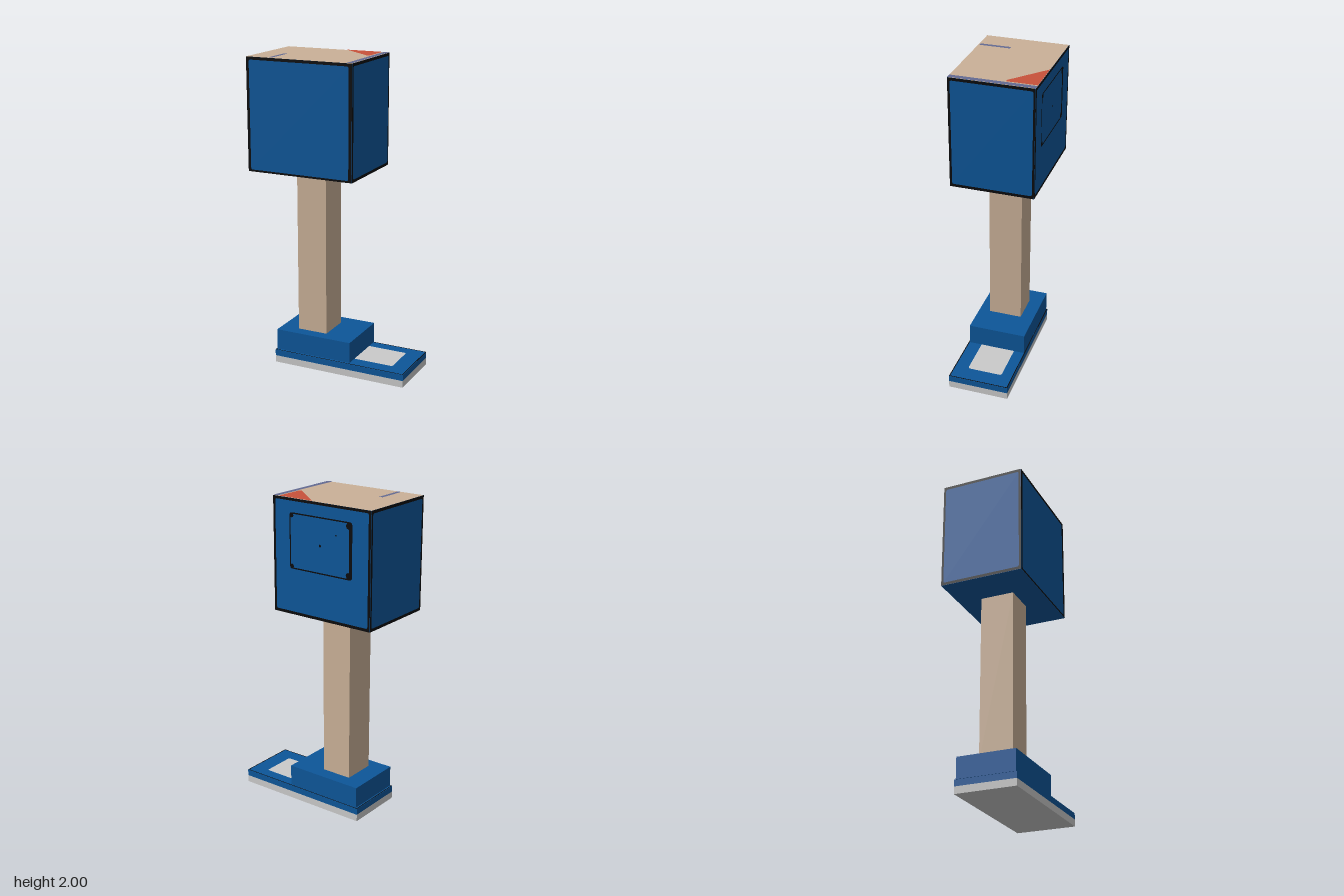
import * as THREE from 'three';

const paint = (name, color) => Object.assign(new THREE.MeshStandardMaterial({ color }), { name });

export function createModel() {
  const model = new THREE.Group();
  const blue = paint('blue', 0x0d5699);
  const black = paint('black', 0x0a0a0c);
  const tan = paint('tan', 0xcab198);
  const grey = paint('light grey', 0xcacaca);
  const red = paint('red', 0xc8523a);
  const purple = paint('dusty purple', 0x646a92);

  const add = (name, geometry, material, parent = model) => {
    const mesh = new THREE.Mesh(geometry, material);
    mesh.name = name;
    parent.add(mesh);
    return mesh;
  };

  // Box given by its lower and upper corners
  const block = (name, [x0, y0, z0], [x1, y1, z1], material) => {
    const mesh = add(name, new THREE.BoxGeometry(x1 - x0, y1 - y0, z1 - z0), material);
    mesh.position.set((x0 + x1) / 2, (y0 + y1) / 2, (z0 + z1) / 2);
    return mesh;
  };

  // Rounded rectangle outline traced onto a Shape or Path
  const trace = (path, x0, y0, x1, y1, r) => {
    path.moveTo(x0 + r, y0);
    path.lineTo(x1 - r, y0);
    path.quadraticCurveTo(x1, y0, x1, y0 + r);
    path.lineTo(x1, y1 - r);
    path.quadraticCurveTo(x1, y1, x1 - r, y1);
    path.lineTo(x0 + r, y1);
    path.quadraticCurveTo(x0, y1, x0, y1 - r);
    path.lineTo(x0, y0 + r);
    path.quadraticCurveTo(x0, y0, x0 + r, y0);
    return path;
  };

  // Flat border with separate left, bottom, right and top widths
  const border = (x0, y0, x1, y1, [l, b, r, t], outer = 0.0005, inner = 0.012) => {
    const shape = trace(new THREE.Shape(), x0, y0, x1, y1, outer);
    shape.holes.push(trace(new THREE.Path(), x0 + l, y0 + b, x1 - r, y1 - t, inner));
    return new THREE.ShapeGeometry(shape, 4);
  };

  // Shoe: pale sole, blue upper, ankle cuff and leg
  block('sole', [-0.39, 0, -0.205], [0.51, 0.045, 0.185], grey);
  block('shoeUpper', [-0.39, 0.045, -0.205], [0.51, 0.085, 0.185], blue);
  block('ankleCuff', [-0.38, 0.09, -0.2], [0.14, 0.225, 0.175], blue);
  block('leg', [-0.26, 0.225, -0.113], [-0.06, 1.29, 0.102], tan);

  // Toe patch and dark edge lines on top of the shoe
  const patch = add('toePatch',
    new THREE.ShapeGeometry(trace(new THREE.Shape(), 0.1, -0.095, 0.4, 0.13, 0.015), 4), grey);
  patch.rotation.x = -Math.PI / 2;
  patch.position.y = 0.087;
  const edge = add('shoeEdgeLine',
    border(-0.39, -0.185, 0.51, 0.205, [0.006, 0.006, 0.006, 0.006], 0.0005, 0.001), black);
  edge.rotation.x = -Math.PI / 2;
  edge.position.y = 0.087;

  // Trouser block with a tan top
  block('trouserBlock', [-0.51, 1.29, -0.265], [0.195, 1.998, 0.265],
    [blue, blue, tan, blue, blue, blue]);

  // Dark borders on the four sides of the trouser block
  const sides = [
    ['front', 0, 0.705, 0.265, [0.018, 0.012, 0.022, 0.018]],
    ['left', Math.PI / 2, 0.53, 0.3525, [0.015, 0.018, 0.012, 0.018]],
    ['back', Math.PI, 0.705, 0.265, [0.016, 0.018, 0.016, 0.016]],
    ['right', -Math.PI / 2, 0.53, 0.3525, [0.014, 0.018, 0.014, 0.018]],
  ];
  const faces = {};
  for (const [name, turn, width, depth, widths] of sides) {
    const face = new THREE.Group();
    face.name = name + 'Panel';
    face.position.set(-0.1575, 1.644, 0);
    face.rotation.y = turn;
    model.add(face);
    add(name + 'Border', border(-width / 2, -0.354, width / 2, 0.354, widths), black, face)
      .position.z = depth + 0.002;
    faces[name] = face;
  }

  // Back pocket outline, corner rivets and button
  add('pocketOutline',
    border(-0.23, -0.07, 0.225, 0.27, [0.008, 0.008, 0.022, 0.008], 0.02, 0.02), black, faces.back)
    .position.z = 0.267;
  for (const [x, y, r] of [[0.2, 0.245, 0.019], [0.2, -0.045, 0.019], [-0.213, 0.253, 0.014],
    [-0.213, -0.053, 0.014], [-0.005, 0.1, 0.008], [0.11, 0.178, 0.005]]) {
    add('pocketRivet', new THREE.CircleGeometry(r, 8), black, faces.back).position.set(x, y, 0.268);
  }

  // Flat marks on the top: points are x, z
  const mark = (name, points, material) => {
    const shape = new THREE.Shape(points.map(([x, z]) => new THREE.Vector2(x, -z)));
    const mesh = add(name, new THREE.ShapeGeometry(shape), material);
    mesh.rotation.x = -Math.PI / 2;
    mesh.position.y = 2;
  };
  mark('redCorner', [[-0.095, -0.265], [0.15, -0.265], [0.15, -0.075], [0.13, -0.075]], red);
  mark('purpleStrip', [[0.16, -0.265], [0.195, -0.265], [0.195, 0.265], [0.16, 0.265]], purple);
  mark('purpleStreak', [[-0.36, 0.06], [-0.335, 0.06], [-0.335, 0.255], [-0.36, 0.255]], purple);

  return model;
}
